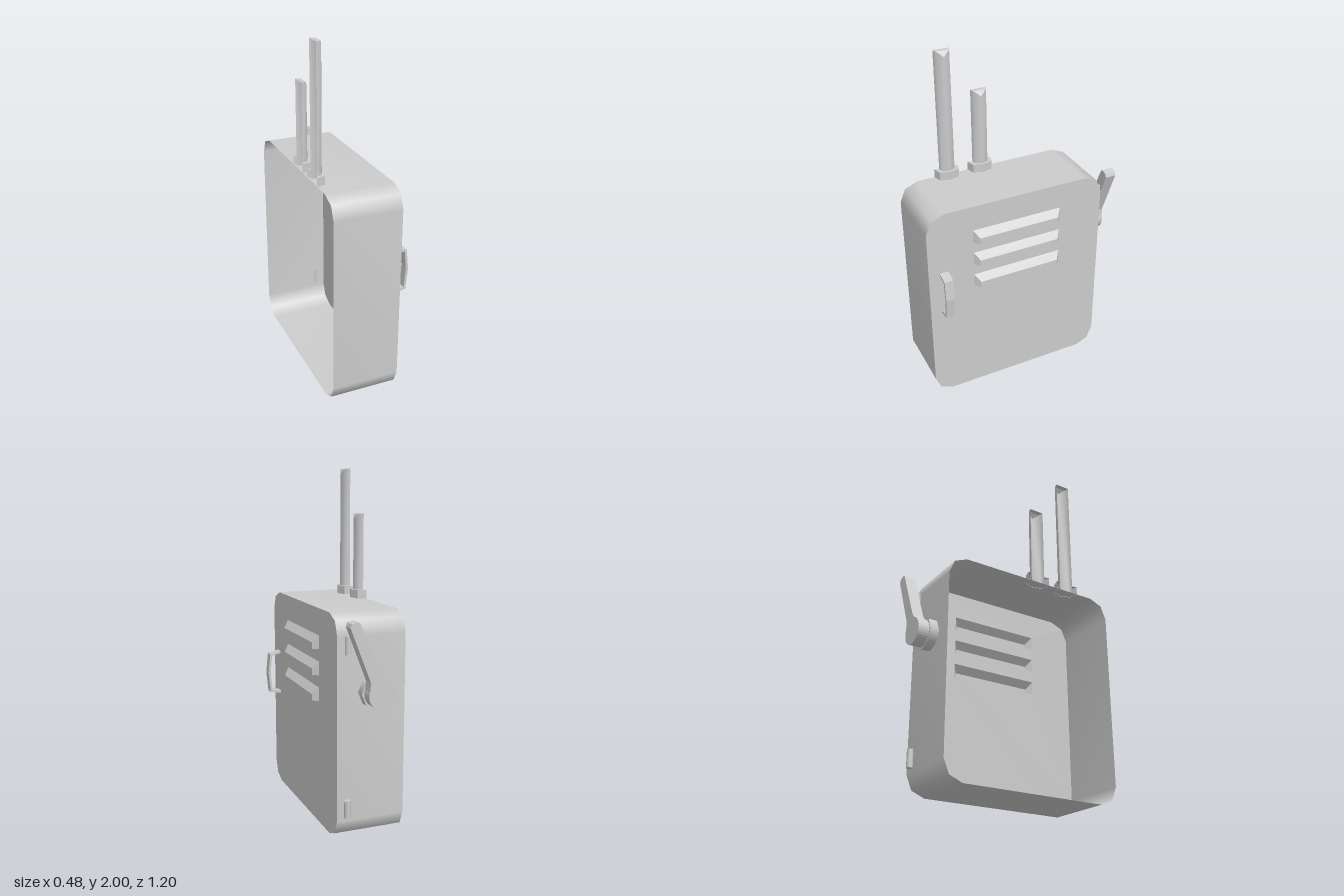
import * as THREE from 'three';

const mat = new THREE.MeshStandardMaterial({ color: 0xcccccc, side: THREE.DoubleSide });
const X0 = -0.24, X1 = 0.155; // open side and panel side of the shell

function add(parent, name, geometry) {
  const mesh = new THREE.Mesh(geometry, mat);
  mesh.name = name;
  parent.add(mesh);
  return mesh;
}

// Skin between cross-sections with equal point counts; closed joins last point to first.
function loft(sections, closed, flat) {
  const n = sections[0].length, idx = [];
  for (let s = 0; s < sections.length - 1; s++) {
    for (let i = 0; i < (closed ? n : n - 1); i++) {
      const a = s * n + i, b = s * n + (i + 1) % n;
      idx.push(a, b, b + n, a, b + n, a + n);
    }
  }
  return finish(sections.flat(2), idx, flat);
}

// Flat fan over one loop.
function fan(loop) {
  const idx = [];
  for (let i = 1; i < loop.length - 1; i++) idx.push(0, i, i + 1);
  return finish(loop.flat(), idx, true);
}

function finish(pos, idx, flat) {
  let g = new THREE.BufferGeometry();
  g.setAttribute('position', new THREE.Float32BufferAttribute(pos, 3));
  g.setIndex(idx);
  if (flat) g = g.toNonIndexed();
  g.computeVertexNormals();
  return g;
}

// Rounded body outline as [u, y], with u = -z, counter-clockwise.
function bodyOutline() {
  const pts = [], r = 0.11;
  const corners = [[0.485 - r, r, -90], [0.485 - r, 1.245 - r, 0], [-0.6 + r, 1.245 - r, 90], [-0.6 + r, r, 180]];
  for (const [u, y, start] of corners) {
    for (let k = 0; k < 3; k++) {
      const a = THREE.MathUtils.degToRad(start + k * 45);
      pts.push([u + r * Math.cos(a), y + r * Math.sin(a)]);
    }
  }
  return pts;
}

// Half-round section, open towards -x, around zc.
function halfSection(zc, xb, xm, xf, hw, mw, y, yFront = y) {
  return [[xb, y, zc + hw], [xm, y, zc + mw], [xf, yFront, zc], [xm, y, zc - mw], [xb, y, zc - hw]];
}

function antenna(name, zc, top) {
  const g = new THREE.Group();
  g.name = name;
  const base = y => halfSection(zc, X0, -0.19, -0.172, 0.072, 0.058, y);
  const rod = (y, yf) => halfSection(zc, -0.231, -0.203, -0.185, 0.045, 0.038, y, yf);
  add(g, 'antennaCollar', loft([base(1.243), base(1.295)], false, true));
  add(g, 'collarRim', loft([base(1.295), rod(1.295)], false, true));
  add(g, 'antennaRod', loft([rod(1.245), rod(top, top - 0.03)], false, false));
  // slanted tip
  const [a, b, c, d, e] = rod(top, top - 0.03);
  add(g, 'antennaTip', fan([a, b, d, e]));
  add(g, 'antennaTipFront', fan([b, c, d]));
  return g;
}

export function createModel() {
  const model = new THREE.Group();
  model.name = 'radioCase';

  // Shell wall, open on -x
  const outline = bodyOutline();
  const ring = x => outline.map(([u, y]) => [x, y, -u]);
  add(model, 'shellWall', loft([ring(X0), ring(X1)], true, false));

  // Side panel with vent openings
  const vents = [0.72, 0.868, 1.016];
  const zA = -0.215, zB = 0.328, ventH = 0.078;
  const panel = new THREE.Shape(outline.map(p => new THREE.Vector2(...p)));
  for (const y of vents) {
    panel.holes.push(new THREE.Path([[-zB, y], [-zB, y + ventH], [-zA, y + ventH], [-zA, y]]
      .map(p => new THREE.Vector2(...p))));
  }
  add(model, 'sidePanel', new THREE.ShapeGeometry(panel).rotateY(Math.PI / 2).translate(X1, 0, 0));

  // Vent hoods: sloped top, tapered ends
  for (const y of vents) {
    const rect = (x, h, z0, z1) => [[x, y, z1], [x, y, z0], [x, y + h, z0], [x, y + h, z1]];
    const outer = rect(0.187, 0.036, zA + 0.026, zB - 0.03);
    const hood = new THREE.Group();
    hood.name = 'ventHood';
    add(hood, 'hoodSides', loft([rect(X1, ventH, zA, zB), outer], true, true));
    add(hood, 'hoodFront', fan(outer));
    model.add(hood);
  }

  // Grab handle on the panel
  const grip = new THREE.Shape([
    [0.155, 0.597], [0.223, 0.607], [0.236, 0.733], [0.223, 0.853], [0.155, 0.87],
    [0.155, 0.856], [0.211, 0.842], [0.222, 0.733], [0.211, 0.62], [0.155, 0.611],
  ].map(p => new THREE.Vector2(...p)));
  add(model, 'handle', new THREE.ExtrudeGeometry(grip, { depth: 0.052, bevelEnabled: false }).translate(0, 0, 0.483));

  // Antennas
  model.add(antenna('tallAntenna', 0.315, 2.0));
  model.add(antenna('shortAntenna', 0.109, 1.74));

  // Lever on the back, turning on a hub
  const hx = -0.055, hy = 0.826;
  add(model, 'leverHub', new THREE.CylinderGeometry(0.09, 0.09, 0.05, 8).rotateX(Math.PI / 2).translate(hx, hy, -0.51));
  const lever = new THREE.Shape();
  lever.moveTo(0.128, 1.195);
  lever.lineTo(0.12, 1.215);
  lever.lineTo(0.087, 1.225);
  lever.lineTo(0.073, 1.216);
  lever.lineTo(-0.054, hy + 0.1);
  lever.absarc(hx, hy, 0.076, 1.9, 2 * Math.PI + 0.35, false);
  lever.lineTo(0.012, 0.9);
  lever.closePath();
  add(model, 'lever', new THREE.ExtrudeGeometry(lever, { depth: 0.065, bevelEnabled: false, curveSegments: 12 })
    .translate(0, 0, -0.6));

  // Hinge pins on the back
  for (const y of [0.182, 1.086]) {
    add(model, 'hingePin', new THREE.CylinderGeometry(0.018, 0.018, 0.1, 10).translate(0.098, y, -0.498));
  }
  return model;
}
